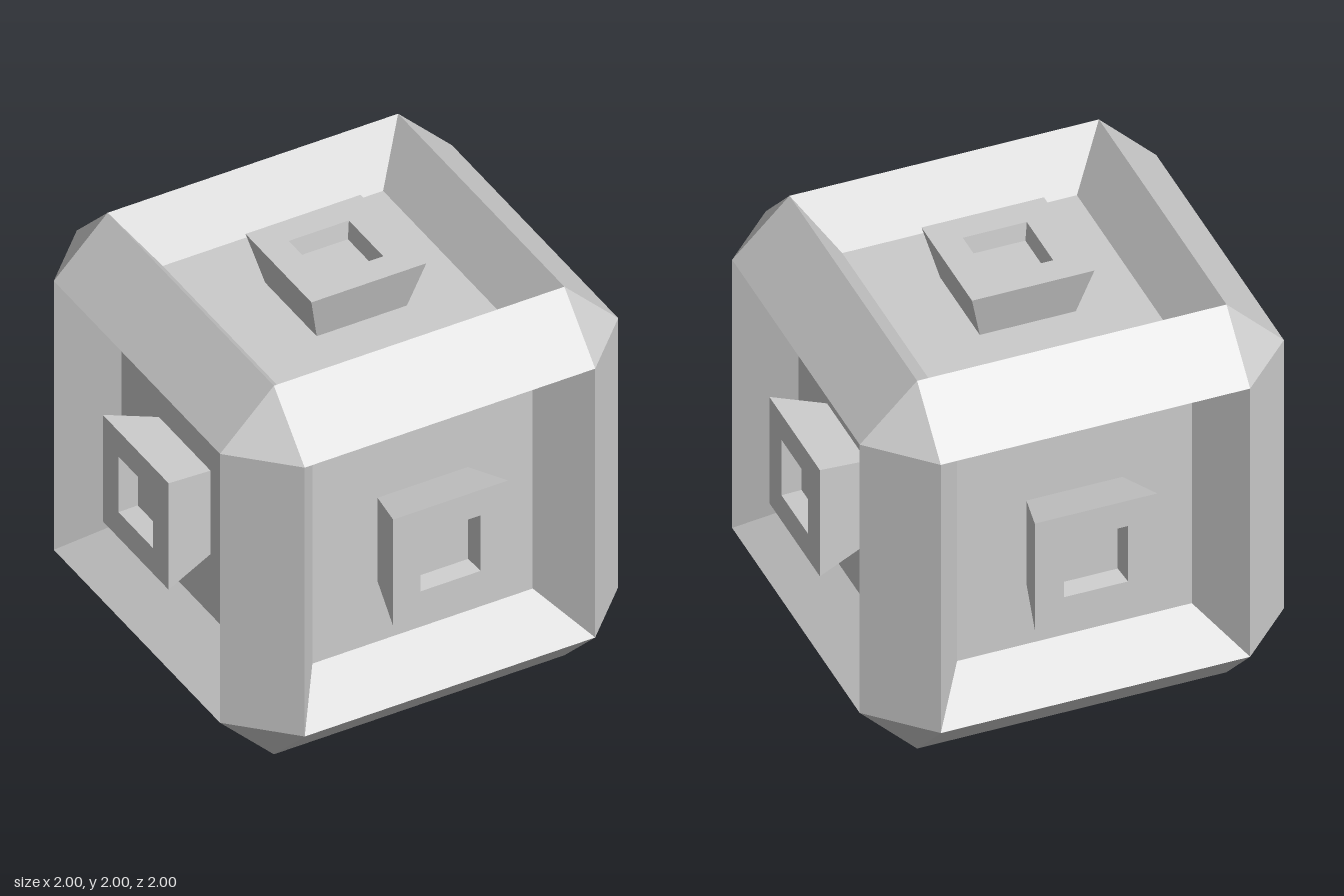
import * as THREE from 'three';

const RIM = 0.725;   // half width of each recess opening
const OUT = 0.994;   // distance of the rims from the centre
const FLOOR = 0.755; // distance of the recess floors from the centre

const material = new THREE.MeshStandardMaterial({ color: 0xcccccc, flatShading: true });

// Square stepped surface around +y from [half width, height] pairs, outside to inside
function squareLoft(profile) {
  const points = profile.map(([half, y]) => new THREE.Vector2(half * Math.SQRT2, y));
  const geometry = new THREE.LatheGeometry(points, 4, Math.PI / 4).toNonIndexed();
  geometry.computeVertexNormals();
  return geometry;
}

function addMesh(parent, name, geometry) {
  const mesh = new THREE.Mesh(geometry, material);
  mesh.name = name;
  parent.add(mesh);
  return mesh;
}

export function createModel() {
  const model = new THREE.Group();
  model.name = 'chamferedCube';
  const body = new THREE.Group();
  body.name = 'body';
  body.position.y = 1;
  model.add(body);

  // Sloping recess, and the flared knob with its square socket
  const recess = squareLoft([[RIM, OUT], [0.55, FLOOR], [0, FLOOR]]);
  const knob = squareLoft([[0.225, FLOOR], [0.287, 1], [0.15, 1], [0.139, 0.91], [0, 0.91]]);
  const q = Math.PI / 2;
  const sides = {
    top: [0, 0, 0], bottom: [Math.PI, 0, 0], front: [q, 0, 0],
    back: [-q, 0, 0], left: [0, 0, -q], right: [0, 0, q],
  };
  for (const [side, rotation] of Object.entries(sides)) {
    const panel = new THREE.Group();
    panel.name = side + 'Panel';
    panel.rotation.set(...rotation);
    addMesh(panel, side + 'Recess', recess);
    addMesh(panel, side + 'Knob', knob);
    body.add(panel);
  }

  // Twelve bevelled edges: four around each axis
  const middle = (RIM + OUT) / 2;
  const bevel = new THREE.PlaneGeometry(2 * RIM, (OUT - RIM) * Math.SQRT2);
  bevel.rotateX(-Math.PI / 4).translate(0, middle, middle);
  for (const [axis, turn] of Object.entries({ x: [0, 0, 0], y: [0, 0, q], z: [0, q, 0] })) {
    const edges = new THREE.Group();
    edges.name = axis + 'Edges';
    edges.rotation.set(...turn);
    for (let i = 0; i < 4; i++) addMesh(edges, 'bevelledEdge', bevel).rotation.x = i * q;
    body.add(edges);
  }

  // Eight triangular corners: four on top, four turned underneath
  const corner = new THREE.BufferGeometry();
  corner.setAttribute('position', new THREE.Float32BufferAttribute(
    [OUT, RIM, RIM, RIM, OUT, RIM, RIM, RIM, OUT], 3));
  corner.computeVertexNormals();
  for (const [name, flip] of [['topCorners', 0], ['bottomCorners', Math.PI]]) {
    const corners = new THREE.Group();
    corners.name = name;
    corners.rotation.x = flip;
    for (let i = 0; i < 4; i++) addMesh(corners, 'corner', corner).rotation.y = i * q;
    body.add(corners);
  }
  return model;
}
